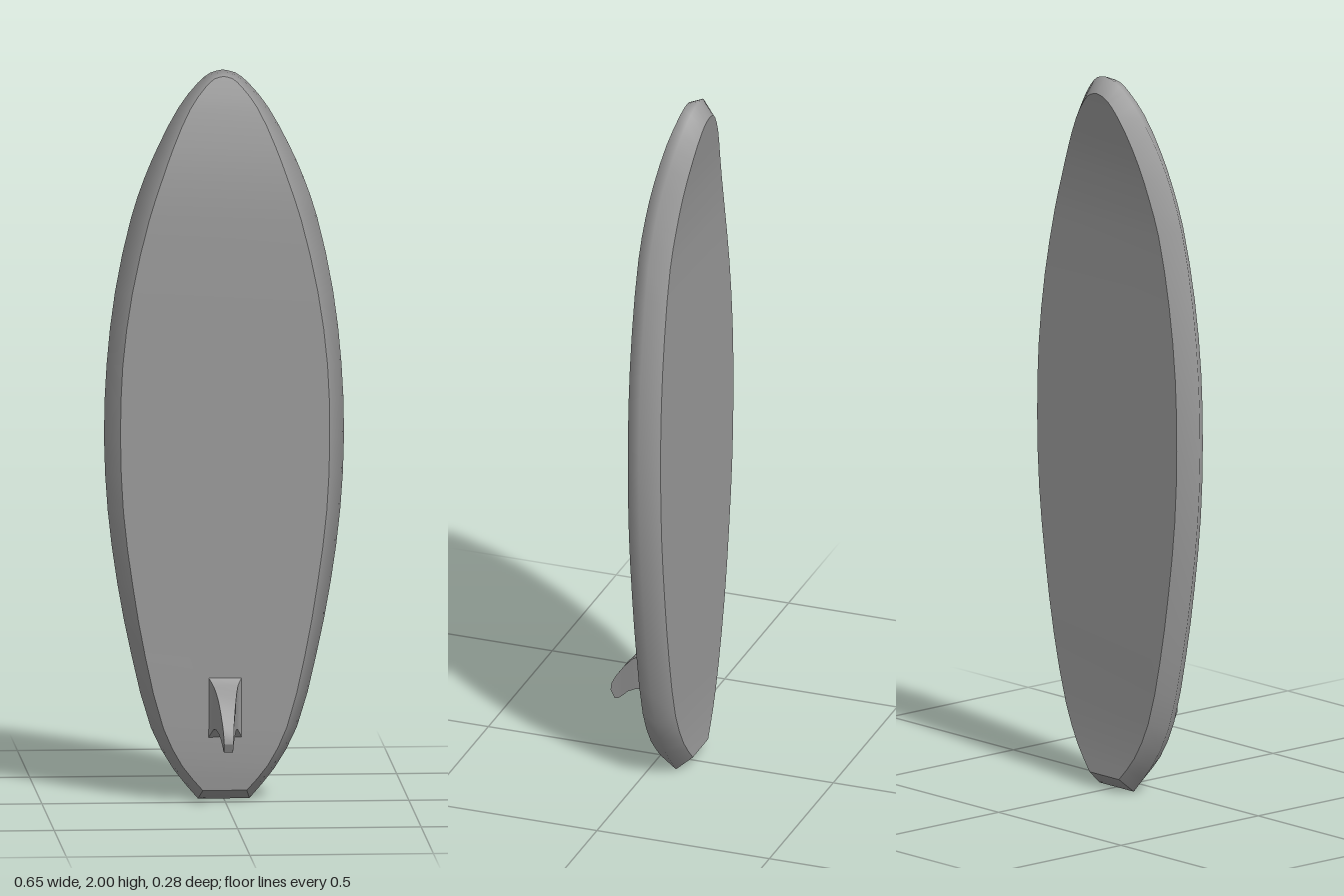
import * as THREE from 'three';

const material = new THREE.MeshStandardMaterial({ color: 0x9a9a9a, side: THREE.DoubleSide });

// Smooth surface through rows of [x, y, z] points; faces along (row direction) x (row to next row)
function strip(name, ...rows) {
  const n = rows[0].length, index = [];
  for (let r = 0; r < rows.length - 1; r++) {
    for (let i = r * n; i < r * n + n - 1; i++) index.push(i, i + 1, n + i + 1, i, n + i + 1, n + i);
  }
  const geometry = new THREE.BufferGeometry();
  geometry.setAttribute('position', new THREE.Float32BufferAttribute(rows.flat(2), 3));
  geometry.setIndex(index);
  geometry.computeVertexNormals();
  const mesh = new THREE.Mesh(geometry, material);
  mesh.name = name;
  return mesh;
}

// Adds a point between every two stations along a smooth curve
function refine(row) {
  const curve = new THREE.CatmullRomCurve3(row.map((p) => new THREE.Vector3(...p)));
  return curve.getPoints(2 * (row.length - 1)).map((p) => p.toArray());
}

// Board stations from tail to nose: [half width, y, z]
const railEdge = refine([
  [0.07, 0.003, -0.07], [0.137, 0.085, -0.063], [0.199, 0.2, -0.058], [0.252, 0.4, -0.057],
  [0.291, 0.6, -0.057], [0.317, 0.8, -0.057], [0.327, 1, -0.057], [0.32, 1.2, -0.057],
  [0.297, 1.4, -0.057], [0.254, 1.6, -0.058], [0.217, 1.71, -0.063], [0.177, 1.8, -0.071],
  [0.122, 1.9, -0.088], [0.069, 1.965, -0.102], [0.034, 1.992, -0.109], [0, 2, -0.111],
]);
const frontEdge = refine([
  [0.06, 0.032, -0.022], [0.116, 0.1, -0.014], [0.168, 0.205, -0.01], [0.217, 0.4, -0.01],
  [0.252, 0.6, -0.01], [0.277, 0.8, -0.01], [0.285, 1, -0.01], [0.279, 1.2, -0.01],
  [0.253, 1.4, -0.01], [0.207, 1.6, -0.012], [0.171, 1.71, -0.019], [0.138, 1.8, -0.031],
  [0.092, 1.9, -0.051], [0.05, 1.957, -0.067], [0.024, 1.98, -0.074], [0, 1.986, -0.076],
]);
const backEdge = refine([
  [0.06, 0.042, -0.115], [0.116, 0.11, -0.109], [0.168, 0.215, -0.105], [0.217, 0.4, -0.105],
  [0.252, 0.6, -0.105], [0.277, 0.8, -0.105], [0.285, 1, -0.105], [0.279, 1.2, -0.105],
  [0.254, 1.4, -0.105], [0.212, 1.59, -0.106], [0.178, 1.69, -0.111], [0.145, 1.775, -0.118],
  [0.098, 1.87, -0.13], [0.054, 1.93, -0.138], [0.026, 1.951, -0.141], [0, 1.957, -0.142],
]);

const mirror = (row) => row.map(([x, y, z]) => [-x, y, z]);
const around = (row) => [...row, ...mirror(row).reverse().slice(1)];
const tailLine = (row) => [mirror(row)[0], row[0]];

function makeBoard() {
  const board = new THREE.Group();
  board.name = 'board';
  const edges = [backEdge, railEdge, frontEdge];
  board.add(
    strip('frontPanel', frontEdge, mirror(frontEdge)),
    strip('backPanel', mirror(backEdge), backEdge),
    strip('rail', ...edges.map(around)),
    strip('tail', ...edges.map(tailLine)),
  );
  return board;
}

// Fin sections from root to tip: [half width, top y, top z, bottom y, bottom z]
const finSections = [
  [0.046, 0.345, -0.012, 0.178, -0.012], [0.038, 0.332, 0, 0.194, 0],
  [0.033, 0.323, 0.014, 0.204, 0.012], [0.028, 0.309, 0.045, 0.207, 0.036],
  [0.0235, 0.29, 0.075, 0.202, 0.064], [0.019, 0.261, 0.101, 0.189, 0.088],
  [0.015, 0.226, 0.126, 0.172, 0.105], [0.0135, 0.203, 0.138, 0.161, 0.118],
  [0.0125, 0.182, 0.141, 0.158, 0.129],
];

function makeFin() {
  const fin = new THREE.Group();
  fin.name = 'fin';
  const corners = [
    finSections.map(([w, y, z]) => [-w, y, z]),
    finSections.map(([w, y, z]) => [w, y, z]),
    finSections.map(([w, , , y, z]) => [w, y, z]),
    finSections.map(([w, , , y, z]) => [-w, y, z]),
  ];
  ['finTop', 'finLeftSide', 'finUnderside', 'finRightSide'].forEach((name, i) => {
    fin.add(strip(name, corners[i], corners[(i + 1) % 4]));
  });
  const [rightTop, leftTop, leftBottom, rightBottom] = corners.map((row) => row.at(-1));
  fin.add(strip('finTip', [rightBottom, leftBottom], [rightTop, leftTop]));
  return fin;
}

export function createModel() {
  const model = new THREE.Group();
  model.name = 'surfboard';
  model.add(makeBoard(), makeFin());
  return model;
}
